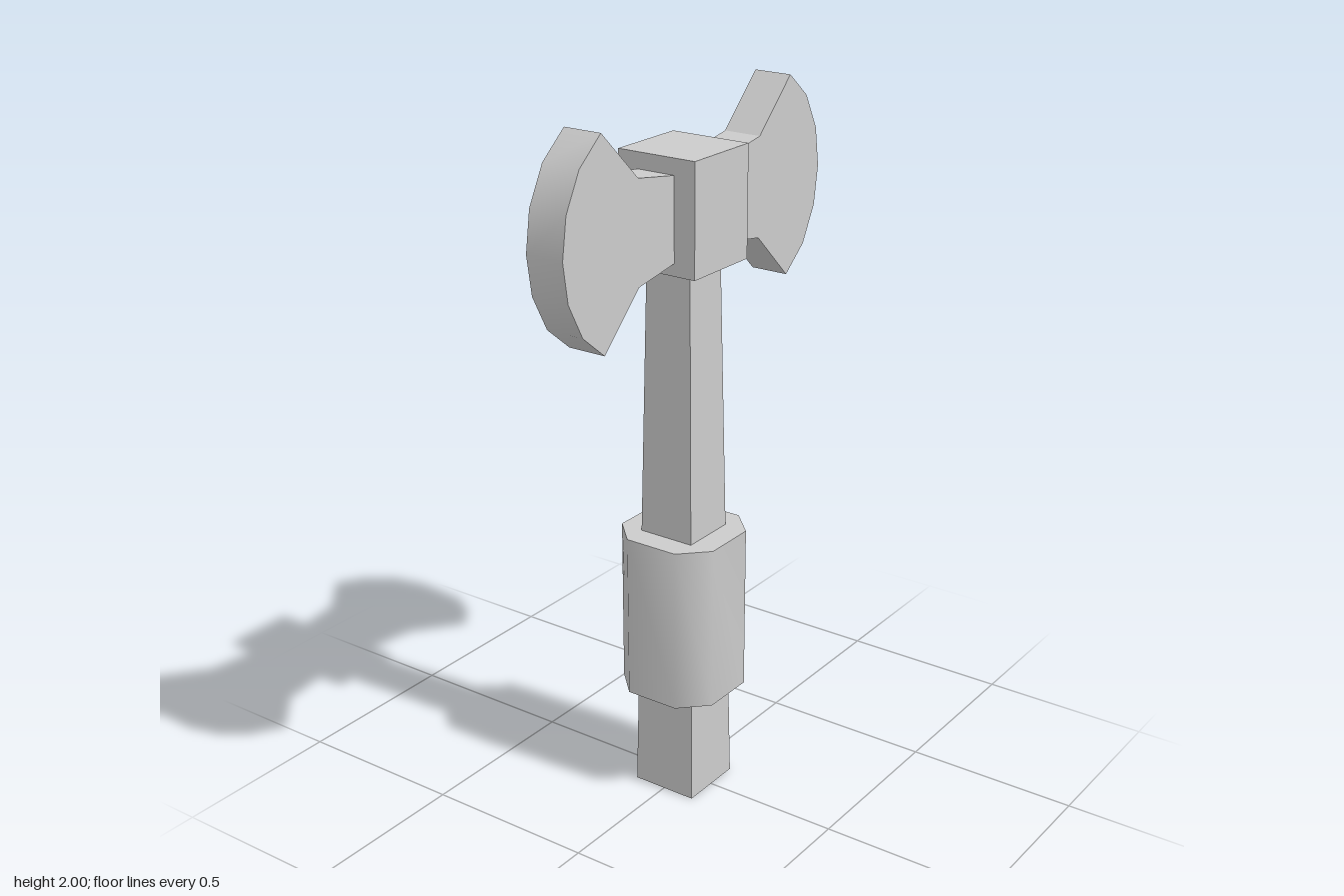
import * as THREE from 'three';
import { toCreasedNormals } from 'three/addons/utils/BufferGeometryUtils.js';

const smooth = new THREE.MeshStandardMaterial({ color: 0xcccccc });
const flat = new THREE.MeshStandardMaterial({ color: 0xcccccc, flatShading: true });

function part(name, geometry, material) {
  const mesh = new THREE.Mesh(geometry, material);
  mesh.name = name;
  return mesh;
}

// Extrudes an outline centred on z = 0, rounding only edges below the crease angle
function slab(points, depth, creaseDegrees) {
  const shape = new THREE.Shape(points.map(([x, y]) => new THREE.Vector2(x, y)));
  const geometry = new THREE.ExtrudeGeometry(shape, { depth, bevelEnabled: false });
  geometry.translate(0, 0, -depth / 2);
  return toCreasedNormals(geometry, THREE.MathUtils.degToRad(creaseDegrees));
}

export function createModel() {
  const group = new THREE.Group();
  group.name = 'doubleAxe';

  // Square shaft, tapering towards the head
  const shaft = new THREE.CylinderGeometry(0.07 * Math.SQRT2, 0.098 * Math.SQRT2, 1.57, 4);
  shaft.rotateY(Math.PI / 4).translate(0, 0.785, 0);
  group.add(part('shaft', shaft, flat));

  // Eight-sided grip sleeve with softened sides
  const a = 0.155, b = 0.08;
  const octagon = [[a, -b], [a, b], [b, a], [-b, a], [-a, b], [-a, -b], [-b, -a], [b, -a]];
  const grip = slab(octagon, 0.48, 60);
  grip.rotateX(-Math.PI / 2).translate(0, 0.56, 0);
  group.add(part('grip', grip, smooth));

  // Block that holds the blades
  const block = new THREE.BoxGeometry(0.24, 0.31, 0.24);
  block.translate(0, 1.725, 0);
  group.add(part('headBlock', block, flat));

  // Flared blades, outline mirrored about the blade's centre line
  const upper = [[0.57, 0], [0.553, 0.11], [0.5, 0.21], [0.415, 0.28], [0.27, 0.14], [0.1, 0.112]];
  const lower = upper.slice(1).reverse().map(([x, y]) => [x, -y]);
  const blade = slab([...upper, ...lower], 0.112, 30);
  for (const side of ['left', 'right']) {
    const mesh = part(side + 'Blade', blade, smooth);
    mesh.position.y = 1.72;
    if (side === 'right') mesh.rotation.y = Math.PI;
    group.add(mesh);
  }

  return group;
}
